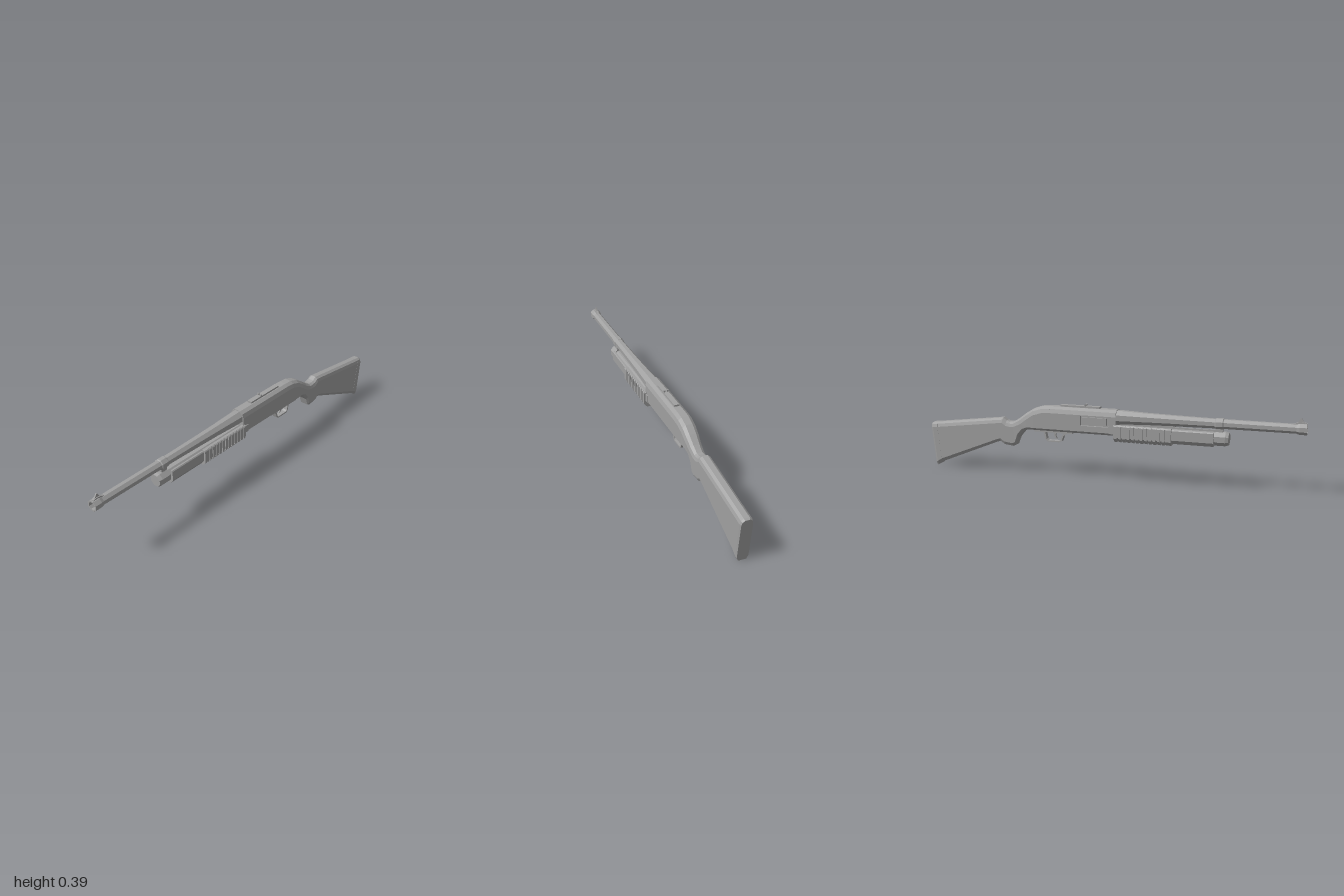
import * as THREE from 'three';

const steel = new THREE.MeshStandardMaterial({ color: 0xa0a0a0 });
steel.name = 'grey';
steel.flatShading = true;

export function createModel() {
  const model = new THREE.Group();
  model.name = 'pumpShotgun';

  const add = (name, geometry) => {
    const mesh = new THREE.Mesh(geometry, steel);
    mesh.name = name;
    model.add(mesh);
    return mesh;
  };
  const box = (name, x, y, z, w, h, d) =>
    add(name, new THREE.BoxGeometry(w, h, d).translate(x, y, z));
  const toShape = (pts) => new THREE.Shape(pts.map(([a, b]) => new THREE.Vector2(a, b)));
  const mirror = (half) => [...half, ...half.slice().reverse().map(([x, y]) => [-x, y])];

  // Outline in x, y stretched between two z positions
  const prism = (name, pts, z0, z1) =>
    add(name, new THREE.ExtrudeGeometry(toShape(pts), { depth: z1 - z0, bevelEnabled: false }).translate(0, 0, z0));

  // Outline in z, y given a width across x
  const sidePlate = (name, shape, width) =>
    add(name, new THREE.ExtrudeGeometry(shape, { depth: width, bevelEnabled: false })
      .rotateY(-Math.PI / 2).translate(width / 2, 0, 0));

  // Eight-sided turned part along z; profile is [flat-to-centre radius, z]
  const turned = (name, y, profile) => {
    const pts = profile.map(([r, z]) => new THREE.Vector2(r / Math.cos(Math.PI / 8), z));
    add(name, new THREE.LatheGeometry(pts, 8, Math.PI / 8).rotateX(Math.PI / 2).translate(0, y, 0));
  };

  // Bevelled sections joined from front to back: [zTop, zBottom, top, bottom, halfWidth, topBevel, bottomBevel]
  const loft = (name, rows) => {
    const pos = [], idx = [];
    for (const [zt, zb, top, bot, w, b, c] of rows) {
      const ring = mirror([[w * 0.44, top], [w * 0.83, top - b * 0.36], [w, top - b], [w, bot + c], [w * 0.7, bot]]);
      for (const [x, y] of ring) pos.push(x, y, zb + (zt - zb) * (y - bot) / (top - bot));
    }
    const n = 10, last = (rows.length - 1) * n;
    for (let i = 0; i < last; i += n) {
      for (let j = 0; j < n; j++) {
        const k = (j + 1) % n;
        idx.push(i + j, i + k, i + n + k, i + j, i + n + k, i + n + j);
      }
    }
    for (let j = 1; j < n - 1; j++) idx.push(0, j + 1, j, last, last + j, last + j + 1);
    const g = new THREE.BufferGeometry();
    g.setAttribute('position', new THREE.Float32BufferAttribute(pos, 3));
    g.setIndex(idx);
    const flat = g.toNonIndexed();
    flat.computeVertexNormals();
    add(name, flat);
  };

  // Barrel with open bore, and its clamp ring
  turned('barrel', 0.33, [
    [0.035, 0.05], [0.034, 0.09], [0.029, 0.22], [0.026, 0.36], [0.023, 0.56], [0.022, 0.95],
    [0.0265, 0.965], [0.0265, 1], [0.019, 1], [0.017, 0.9], [0, 0.9]]);
  turned('barrelRing', 0.33, [[0.022, 0.56], [0.0265, 0.565], [0.0265, 0.6], [0.022, 0.605]]);
  box('barrelClamp', 0, 0.295, 0.583, 0.026, 0.035, 0.034);

  // Magazine tube and end cap
  turned('magazineTube', 0.256, [[0.029, 0.05], [0.029, 0.58]]);
  turned('magazineCap', 0.256, [[0, 0.565], [0.034, 0.565], [0.034, 0.615], [0.029, 0.631], [0, 0.631]]);

  // Sliding fore-end: trough with ribbed grip
  const trough = (w, top, bottom) => mirror([
    [0.03, 0.245], [0.03, top], [w - 0.004, top], [w, top - 0.005], [w, bottom + 0.019], [w * 0.68, bottom]]).reverse();
  prism('foreEndFront', trough(0.042, 0.29, 0.218), 0.34, 0.56);
  prism('foreEndGrip', trough(0.0475, 0.295, 0.212), 0.05, 0.35);
  for (let i = 0; i < 12; i++) {
    const z = 0.055 + i * 0.0225;
    prism('foreEndRib', trough(0.0515, 0.294, 0.208), z, z + 0.014);
  }
  prism('foreEndShoulder', trough(0.0515, 0.295, 0.209), 0.322, 0.35);
  for (const s of [-1, 1]) box('actionBar', s * 0.041, 0.268, 0.05, 0.008, 0.04, 0.05);

  // Receiver: solid ends, with ejection port on one side and loading port below
  const half = [[0.018, 0.368], [0.034, 0.356], [0.041, 0.335], [0.041, 0.25], [0.029, 0.238]];
  const slot = [[0.021, 0.238], [0.021, 0.264]];
  const slotted = mirror([...half, ...slot]);
  const ported = slotted.slice();
  ported.splice(ported.length - 3, 0, [-0.041, 0.28], [-0.027, 0.28], [-0.027, 0.33], [-0.041, 0.33]);
  prism('receiverFront', mirror(half), 0.02, 0.06);
  prism('receiverPorts', ported, -0.13, 0.02);
  prism('receiverMiddle', slotted, -0.18, -0.13);
  prism('receiverRear', mirror(half), -0.3, -0.18);
  box('bolt', -0.03, 0.306, -0.055, 0.012, 0.036, 0.13);
  box('shellLifter', 0, 0.255, -0.09, 0.026, 0.008, 0.15);

  // Rear of receiver, grip and stock
  loft('receiverTang', [
    [-0.3, -0.3, 0.368, 0.238, 0.041, 0.033, 0.012],
    [-0.345, -0.345, 0.365, 0.238, 0.041, 0.033, 0.012],
    [-0.393, -0.393, 0.35, 0.238, 0.04, 0.033, 0.012]]);
  loft('stock', [
    [-0.393, -0.393, 0.35, 0.238, 0.04, 0.033, 0.012],
    [-0.436, -0.425, 0.323, 0.238, 0.038, 0.032, 0.013],
    [-0.479, -0.457, 0.291, 0.222, 0.034, 0.028, 0.015],
    [-0.5, -0.484, 0.278, 0.19, 0.032, 0.026, 0.016],
    [-0.516, -0.5, 0.27, 0.147, 0.031, 0.026, 0.016],
    [-0.535, -0.515, 0.27, 0.141, 0.031, 0.026, 0.016],
    [-0.553, -0.564, 0.275, 0.147, 0.031, 0.026, 0.016],
    [-0.573, -0.588, 0.289, 0.163, 0.031, 0.026, 0.016],
    [-0.6, -0.612, 0.286, 0.155, 0.031, 0.026, 0.016],
    [-0.965, -0.94, 0.241, 0.022, 0.031, 0.026, 0.018]]);
  loft('buttPad', [
    [-0.965, -0.94, 0.241, 0.022, 0.0315, 0.026, 0.018],
    [-0.99, -0.966, 0.239, 0.004, 0.0315, 0.026, 0.02],
    [-1, -0.975, 0.234, 0, 0.028, 0.024, 0.02]]);

  // Trigger housing, guard and trigger
  box('triggerHousing', 0, 0.237, -0.285, 0.046, 0.016, 0.21);
  const guard = toShape([[-0.195, 0.235], [-0.232, 0.212], [-0.242, 0.184], [-0.255, 0.177],
    [-0.32, 0.177], [-0.333, 0.187], [-0.345, 0.235]]);
  guard.holes.push(toShape([[-0.222, 0.229], [-0.334, 0.229], [-0.326, 0.191], [-0.317, 0.184],
    [-0.257, 0.184], [-0.249, 0.189], [-0.24, 0.215]]));
  sidePlate('triggerGuard', guard, 0.026);
  sidePlate('trigger', toShape([[-0.275, 0.232], [-0.29, 0.232], [-0.287, 0.21], [-0.276, 0.193],
    [-0.272, 0.195], [-0.279, 0.212]]), 0.01);

  // Top rail with rear sight
  box('topRail', 0, 0.371, -0.14, 0.026, 0.012, 0.215);
  for (const s of [-1, 1]) {
    prism('rearSightPost', [[s * 0.003, 0.375], [s * 0.011, 0.375], [s * 0.014, 0.386], [s * 0.004, 0.386]], -0.115, -0.107);
  }

  // Front sight ramp and blade
  sidePlate('frontSightRamp', toShape([[0.93, 0.35], [0.995, 0.35], [0.995, 0.36], [0.975, 0.364], [0.955, 0.362]]), 0.014);
  sidePlate('frontSightBlade', toShape([[0.955, 0.36], [0.985, 0.36], [0.972, 0.381], [0.966, 0.381]]), 0.006);

  return model;
}
